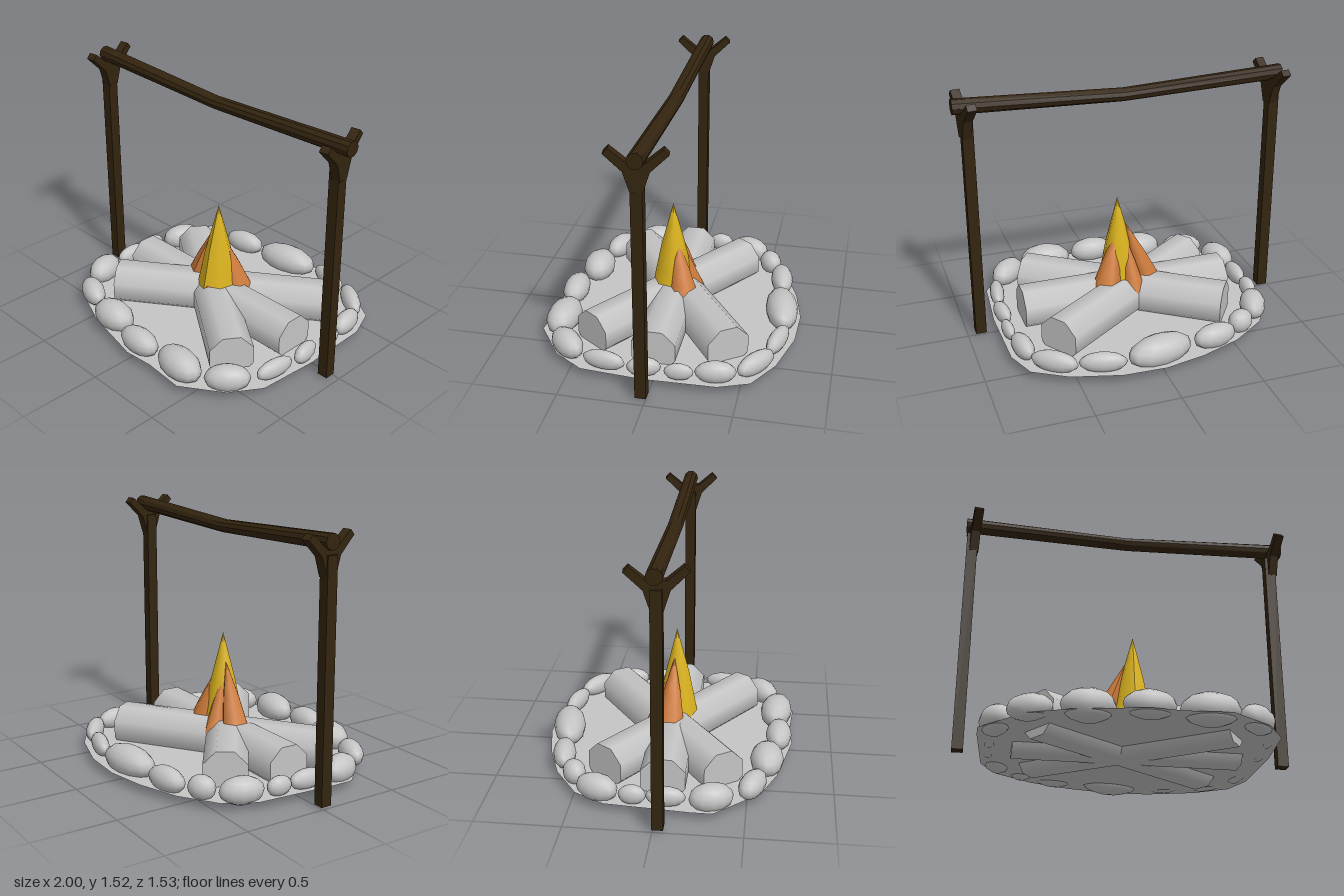
import * as THREE from 'three';

export function createModel() {
  const model = new THREE.Group();
  const mat = (name, color, extra = {}) => {
    const m = new THREE.MeshStandardMaterial({ color, ...extra });
    m.name = name;
    return m;
  };
  const stoneGrey = mat('stone grey', 0xc4c4c4, { side: THREE.DoubleSide });
  const darkWood = mat('dark wood', 0x33240f, { flatShading: true });
  const yellow = mat('flame yellow', 0xdcb41e);
  const orange = mat('flame orange', 0xd07c3a);

  const add = (name, geometry, material, parent = model) => {
    const mesh = new THREE.Mesh(geometry, material);
    mesh.name = name;
    parent.add(mesh);
    return mesh;
  };
  const group = (name) => {
    const g = new THREE.Group();
    g.name = name;
    model.add(g);
    return g;
  };

  // Thin ground sheet under the ring
  const outline = [
    [0, -0.77], [0.26, -0.76], [0.55, -0.68], [0.75, -0.56], [0.82, -0.38],
    [0.83, 0.05], [0.8, 0.42], [0.68, 0.6], [0.44, 0.76], [0.18, 0.74],
    [0, 0.755], [-0.4, 0.67], [-0.62, 0.58], [-0.86, 0.32], [-0.86, 0.2],
    [-0.82, -0.3], [-0.72, -0.48], [-0.5, -0.63], [-0.25, -0.72],
  ];
  const sheetShape = new THREE.Shape(outline.map(([x, z]) => new THREE.Vector2(x, -z)));
  const sheet = add('groundSheet', new THREE.ShapeGeometry(sheetShape).rotateX(-Math.PI / 2), stoneGrey);
  sheet.position.y = 0.06;

  // Ring of flattened stones: x, z, half length, half width, turn in degrees
  const stones = group('stoneRing');
  [
    [-0.36, -0.61, 0.14, 0.07, 10], [0, -0.65, 0.205, 0.1, 10],
    [0.35, -0.665, 0.14, 0.05, -15], [0.61, -0.57, 0.145, 0.055, -36],
    [0.745, -0.36, 0.12, 0.058, -80], [0.785, -0.155, 0.085, 0.035, -85],
    [0.775, 0.05, 0.1, 0.045, -80], [0.755, 0.29, 0.13, 0.045, 83],
    [0.63, 0.545, 0.135, 0.08, 45], [0.345, 0.65, 0.165, 0.1, -5],
    [0.015, 0.67, 0.145, 0.08, 0], [-0.3, 0.605, 0.15, 0.1, 0],
    [-0.6, 0.53, 0.13, 0.07, -22], [-0.765, 0.305, 0.13, 0.085, -72],
    [-0.785, 0.05, 0.115, 0.048, 90], [-0.785, -0.14, 0.08, 0.045, 90],
    [-0.725, -0.35, 0.13, 0.08, 70], [-0.57, -0.51, 0.085, 0.067, 28],
  ].forEach(([x, z, length, width, turn]) => {
    const stone = add('stone', new THREE.SphereGeometry(1, 12, 8), stoneGrey, stones);
    stone.scale.set(length, 0.03 + 0.65 * width, width);
    stone.rotation.y = THREE.MathUtils.degToRad(turn);
    stone.position.set(x, 0.11, z);
  });

  // Three crossed logs: end points in x, z
  const logs = group('logs');
  [
    [-0.66, 0.02, 0.66, 0.02],
    [-0.54, -0.335, 0.54, 0.42],
    [-0.545, 0.36, 0.54, -0.4],
  ].forEach(([x0, z0, x1, z1]) => {
    const geo = new THREE.CylinderGeometry(0.14, 0.14, Math.hypot(x1 - x0, z1 - z0), 8);
    geo.rotateY(Math.PI / 8).rotateZ(Math.PI / 2);
    const log = add('log', geo, stoneGrey, logs);
    log.rotation.y = -Math.atan2(z1 - z0, x1 - x0);
    log.position.set((x0 + x1) / 2, 0.14, (z0 + z1) / 2);
  });

  // Flame tongues: cones whose tips lean away from their bases
  const fire = group('fire');
  function flame(name, material, [bx, bz], radius, [tx, ty, tz], sides) {
    const y0 = 0.2;
    const geo = new THREE.ConeGeometry(radius, ty - y0, sides, 4);
    geo.translate(0, (ty - y0) / 2, 0);
    const p = geo.attributes.position;
    for (let i = 0; i < p.count; i++) {
      const t = p.getY(i) / (ty - y0);
      const bulge = 1 + 0.3 * Math.sin(Math.PI * t) * t;
      p.setXYZ(i, p.getX(i) * bulge + bx + (tx - bx) * t, p.getY(i) + y0,
        p.getZ(i) * bulge + bz + (tz - bz) * t);
    }
    geo.computeVertexNormals();
    add(name, geo, material, fire);
  }
  flame('yellowFlame', yellow, [0.03, 0.03], 0.135, [0.035, 0.79, 0.03], 7);
  flame('leftFlame', orange, [0.14, -0.06], 0.095, [0.05, 0.58, 0.01], 6);
  flame('rightFlame', orange, [-0.16, 0], 0.095, [-0.01, 0.62, 0.02], 6);
  flame('backFlame', orange, [-0.04, -0.08], 0.07, [0, 0.55, 0.01], 6);
  flame('frontFlame', orange, [0.04, 0.12], 0.07, [0.06, 0.33, 0.1], 6);

  // Forked posts
  const half = [[0.033, 1.29], [0.07, 1.405], [0.168, 1.5], [0.14, 1.53], [0.05, 1.455]];
  const fork = [...half, ...half.map(([z, y]) => [-z, y]).reverse()];
  const forkShape = new THREE.Shape(fork.map(([z, y]) => new THREE.Vector2(z, y)));
  const forkGeo = new THREE.ExtrudeGeometry(forkShape, { depth: 0.055, bevelEnabled: false });
  forkGeo.translate(0, 0, -0.0275).rotateY(Math.PI / 2);
  [['rightPost', -0.96], ['leftPost', 0.92]].forEach(([name, x]) => {
    const post = group(name);
    post.position.set(x, 0, 0.028);
    add('shaft', new THREE.BoxGeometry(0.065, 1.39, 0.065), darkWood, post).position.y = 0.715;
    const top = add('fork', forkGeo, darkWood, post);
    top.rotation.y = 0.13;
    top.position.x = 0.01;
  });

  // Crossbar sagging in the middle
  const barGeo = new THREE.CylinderGeometry(0.046, 0.046, 2, 10, 2).rotateZ(Math.PI / 2);
  const bp = barGeo.attributes.position;
  for (let i = 0; i < bp.count; i++) {
    const sag = 1 - Math.abs(bp.getX(i));
    bp.setY(i, bp.getY(i) * (1 - 0.15 * sag) - 0.038 * sag);
  }
  barGeo.computeVertexNormals();
  add('crossbar', barGeo, darkWood).position.set(0, 1.482, 0.02);

  return model;
}
